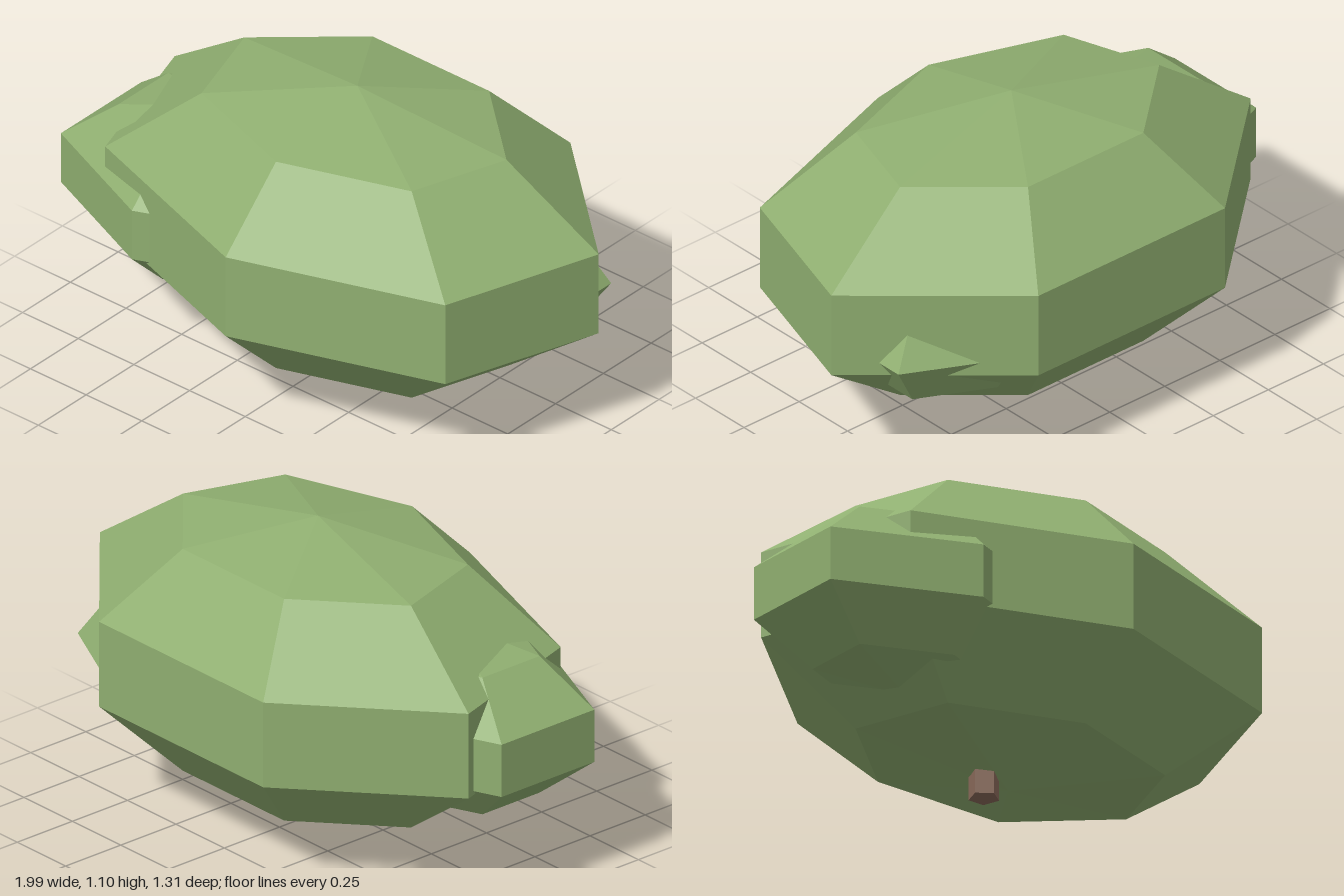
import * as THREE from 'three';

export function createModel() {
  const group = new THREE.Group();
  group.name = 'bush';
  const leaves = new THREE.MeshStandardMaterial({ color: 0x8fae70, flatShading: true });
  const bark = new THREE.MeshStandardMaterial({ color: 0x8a6a5a, flatShading: true });

  // Faceted ellipsoid clump with one column of vertices facing +z
  const clump = (name, around, rings, radii, position) => {
    const geometry = new THREE.SphereGeometry(1, around, rings, Math.PI / 2);
    geometry.scale(...radii);
    const mesh = new THREE.Mesh(geometry, leaves);
    mesh.name = name;
    mesh.position.set(...position);
    group.add(mesh);
  };

  clump('mainFoliage', 7, 5, [1.027, 0.518, 0.7245], [0.041, 0.578, -0.039]);
  clump('rightFoliage', 6, 5, [0.577 / 0.951, 0.319, 0.442], [-0.5, 0.5315, 0.09]);
  clump('leftFoliage', 6, 4, [0.44, 0.243, 0.38], [0.49, 0.467, -0.21]);

  // Five-sided trunk, its upper part buried in the foliage
  const trunkHeight = 0.5;
  const trunk = new THREE.Mesh(new THREE.CylinderGeometry(0.055, 0.055, trunkHeight, 5), bark);
  trunk.name = 'trunk';
  trunk.position.set(-0.067, trunkHeight / 2, -0.035);
  group.add(trunk);

  return group;
}
